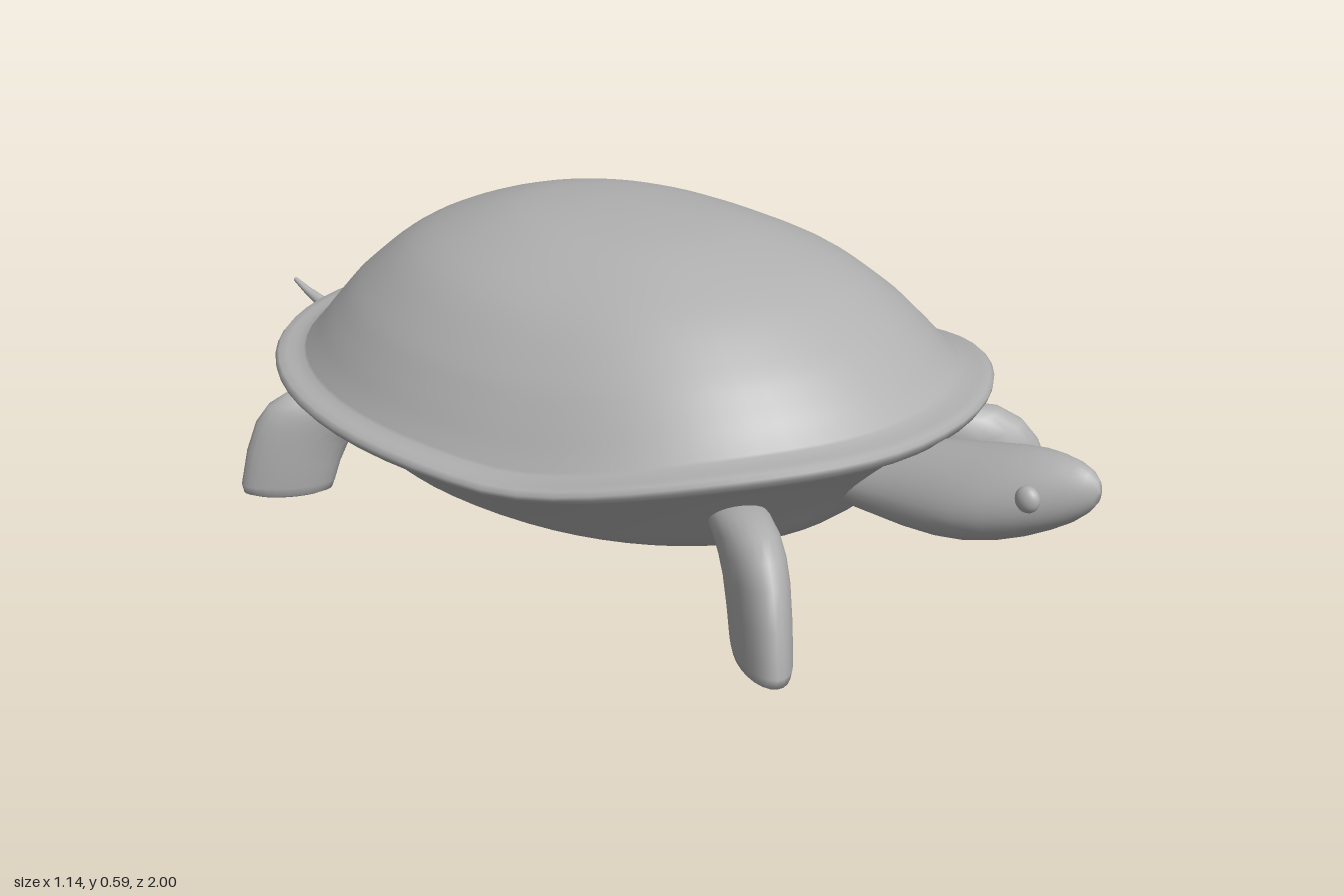
import * as THREE from 'three';

const grey = new THREE.MeshStandardMaterial({ color: 0xb0b0b0 });
grey.name = 'grey';
const skin = grey;

// Skin a list of closed rings; points run anticlockwise about the direction of travel
function loft(name, rings) {
  const n = rings[0].length;
  const index = [];
  for (let i = 0; i < rings.length - 1; i++) {
    for (let j = 0; j < n; j++) {
      const k = (j + 1) % n;
      const a = i * n + j, b = i * n + k, c = a + n, d = b + n;
      index.push(a, b, d, a, d, c);
    }
  }
  const geo = new THREE.BufferGeometry();
  geo.setAttribute('position', new THREE.Float32BufferAttribute(rings.flat(2), 3));
  geo.setIndex(index);
  geo.computeVertexNormals();
  const mesh = new THREE.Mesh(geo, skin);
  mesh.name = name;
  return mesh;
}

function ring(n, point) {
  return Array.from({ length: n }, (_, j) => {
    const t = (j / n) * Math.PI * 2;
    return point(Math.cos(t), Math.sin(t));
  });
}

// Shell ring: s scales the oval outline, k runs from the belly (-1) past the rim (0) to the crown (1)
const BELLY = 0.105, CROWN = 0.595, MID_Z = -0.055;
const power = (v) => Math.sign(v) * Math.abs(v) ** 0.94;
function shellRing([s, k]) {
  return ring(64, (c, sn) => {
    const z = MID_Z - 0.745 * power(sn);
    const rim = 0.25 + 0.09 * THREE.MathUtils.smoothstep(z, 0.08, 0.66);
    const y = k < 0 ? rim + k * (rim - BELLY) : rim + k * (CROWN - rim);
    return [0.57 * power(c) * s, y, MID_Z + (z - MID_Z) * s];
  });
}

// Leg: sections given by outer and inner points [r, y] in a vertical plane facing outward
const LEG = [
  // outer r, y, inner r, y, half thickness
  [0, 0.005, 0, 0.005, 0],
  [0.085, 0.005, -0.085, 0.005, 0.036],
  [0.104, 0.011, -0.106, 0.011, 0.044],
  [0.108, 0.03, -0.114, 0.03, 0.048],
  [0.09, 0.11, -0.128, 0.07, 0.05],
  [0.065, 0.175, -0.15, 0.115, 0.052],
  [0.035, 0.212, -0.18, 0.14, 0.053],
  [-0.01, 0.237, -0.22, 0.155, 0.053],
  [-0.08, 0.245, -0.26, 0.16, 0.052],
  [-0.18, 0.235, -0.31, 0.165, 0.048],
  [-0.245, 0.2, -0.245, 0.2, 0],
];
function leg(name, x, z, dx, dz, sr, sy) {
  return loft(name, LEG.map(([ro, yo, ri, yi, b]) => ring(24, (c, s) => {
    const r = ((ro + ri) / 2 + ((ro - ri) / 2) * c) * sr;
    const y = ((yo + yi) / 2 + ((yo - yi) / 2) * c) * sy;
    return [x + dx * r + dz * b * s * sr, y, z + dz * r - dx * b * s * sr];
  })));
}

export function createModel() {
  const model = new THREE.Group();
  model.name = 'turtle';

  // Domed upper shell with flared rim
  const dome = new THREE.SplineCurve([
    [0.915, 0.06], [0.877, 0.15], [0.82, 0.3], [0.737, 0.49], [0.58, 0.745],
    [0.35, 0.93], [0.15, 0.99], [0, 1],
  ].map((p) => new THREE.Vector2(...p))).getPoints(28).map((p) => [Math.max(p.x, 0), p.y]);
  dome[dome.length - 1] = [0, 1];
  const rim = [[0.9, -0.18], [0.955, -0.13], [0.985, -0.09], [0.998, -0.03], [1, 0.01],
    [0.99, 0.035], [0.965, 0.042], [0.94, 0.045]];
  model.add(loft('upperShell', [...rim, ...dome].map(shellRing)));

  // Flat belly with sloping sides
  model.add(loft('lowerShell', [[0, -1], [0.4, -1], [0.64, -1], [0.69, -0.985], [0.725, -0.9],
    [0.76, -0.77], [0.84, -0.46], [0.94, -0.12]].map(shellRing)));

  // Head and neck: z, half width, bottom, top
  const head = [
    [0.42, 0, 0.23, 0.23], [0.42, 0.08, 0.17, 0.28], [0.55, 0.088, 0.163, 0.295],
    [0.65, 0.097, 0.16, 0.318], [0.72, 0.105, 0.165, 0.332], [0.78, 0.106, 0.175, 0.346],
    [0.83, 0.098, 0.19, 0.358], [0.88, 0.082, 0.211, 0.367], [0.92, 0.064, 0.233, 0.369],
    [0.955, 0.045, 0.256, 0.366], [0.98, 0.029, 0.279, 0.358], [0.995, 0.014, 0.3, 0.345],
    [1, 0, 0.322, 0.322],
  ];
  model.add(loft('head', head.map(([z, w, lo, hi]) => ring(32, (c, s) =>
    [w * c * (1 - 0.18 * s), (lo + hi) / 2 + ((hi - lo) / 2) * s, z]))));

  // Tapered tail with upturned tip: z, y, radius
  const tail = [
    [-1, 0.216, 0], [-0.997, 0.216, 0.005], [-0.96, 0.199, 0.009], [-0.91, 0.181, 0.014],
    [-0.85, 0.169, 0.019], [-0.78, 0.168, 0.025], [-0.7, 0.176, 0.031], [-0.58, 0.185, 0.034],
  ];
  model.add(loft('tail', tail.map(([z, y, r]) => ring(16, (c, s) => [r * c, y + r * s, z]))));

  // Legs and eyes, mirrored
  for (const [side, m] of [['left', 1], ['right', -1]]) {
    model.add(leg(side + 'FrontLeg', m * 0.37, 0.58, m * 0.6, 0.8, 1, 1));
    model.add(leg(side + 'BackLeg', m * 0.437, -0.55, m * 0.76, -0.65, 0.82, 0.9));
    const eye = new THREE.Mesh(new THREE.SphereGeometry(1, 20, 14), skin);
    eye.name = side + 'Eye';
    eye.scale.set(0.017, 0.024, 0.023);
    eye.position.set(m * 0.068, 0.305, 0.902);
    model.add(eye);
  }
  return model;
}
